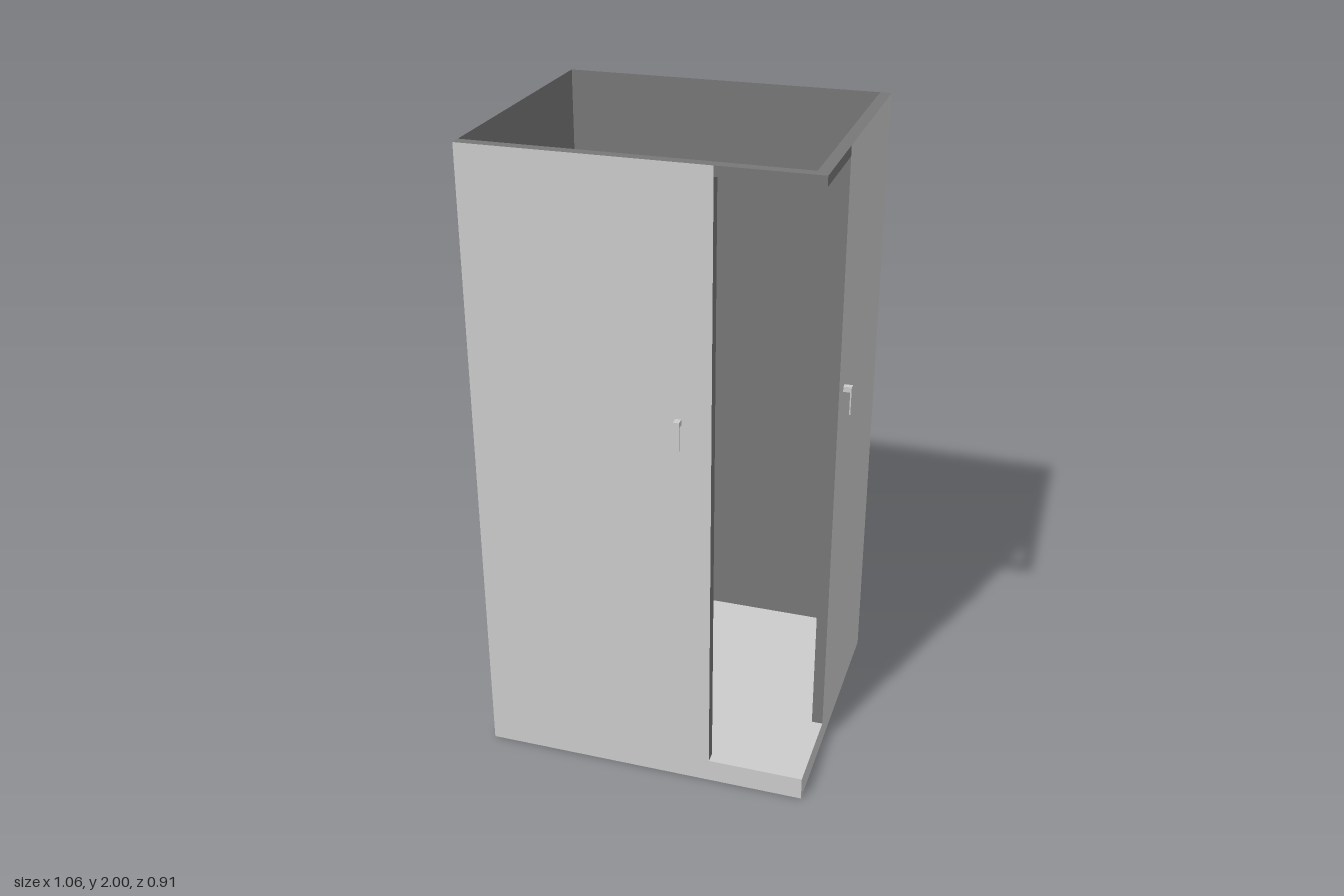
import * as THREE from 'three';
import { toCreasedNormals } from 'three/addons/utils/BufferGeometryUtils.js';

const mat = (color) => new THREE.MeshStandardMaterial({ color, side: THREE.DoubleSide });
const light = mat(0xcccccc), dark = mat(0x777777), black = mat(0x000000);

// Overall extents of the cabin
const X0 = -0.53, X1 = 0.505, Z0 = -0.455, Z1 = 0.43;
const BASE = 0.075, TOP = 2, THICK = 0.035;
const PIPE = { z: -0.1, y: 1.77, r: 0.03 };
const VALVE = { z: -0.014, y: 0.965, r: 0.044 };

function createModel() {
  const group = new THREE.Group();
  const add = (name, geometry, material, parent = group) => {
    const mesh = new THREE.Mesh(geometry, material);
    mesh.name = name;
    parent.add(mesh);
    return mesh;
  };
  // Box given by its two opposite corners
  const box = (name, [x0, y0, z0], [x1, y1, z1], material, parent) => {
    const mesh = add(name, new THREE.BoxGeometry(x1 - x0, y1 - y0, z1 - z0), material, parent);
    mesh.position.set((x0 + x1) / 2, (y0 + y1) / 2, (z0 + z1) / 2);
    return mesh;
  };

  // Tray and drain
  box('showerTray', [X0, 0, Z0], [X1, BASE, Z1], light);
  add('drain', new THREE.CylinderGeometry(0.046, 0.046, 0.004, 40), black)
    .position.set(-0.245, BASE + 0.001, -0.17);

  // Thin back wall, and side wall pierced for the plumbing
  add('backWall', new THREE.PlaneGeometry(X1 - X0, TOP - BASE).rotateY(Math.PI), dark)
    .position.set((X0 + X1) / 2, (TOP + BASE) / 2, Z0);
  const wall = new THREE.Shape([[Z0, BASE], [Z1, BASE], [Z1, TOP], [Z0, TOP]]
    .map(([x, y]) => new THREE.Vector2(x, y)));
  for (const { z, y, r } of [PIPE, VALVE]) {
    wall.holes.push(new THREE.Path().absarc(z, y, r, 0, Math.PI * 2, true));
  }
  add('plumbingWall', new THREE.ShapeGeometry(wall, 16).rotateY(-Math.PI / 2), dark).position.x = X0;

  // Front and side panels: light faces, dark edges
  box('frontPanel', [X0, BASE, Z1 - THICK], [0.205, TOP, Z1],
    [dark, dark, dark, dark, light, light]);
  box('sidePanel', [X1 - THICK, BASE, Z0], [X1, TOP, 0.14],
    [light, light, dark, dark, dark, dark]);

  // Header rails across the open corner
  box('frontHeader', [0.205, TOP - 0.03, Z1 - THICK], [X1, TOP, Z1], dark);
  box('sideHeader', [X1 - THICK, TOP - 0.03, 0.14], [X1, TOP, Z1 - THICK], dark);

  // Hooked door handles, one on each panel
  const handle = (name, x, z, angle) => {
    const h = new THREE.Group();
    h.name = name;
    box('handleStem', [-0.009, 1.243, 0], [0.009, 1.26, 0.025], light, h);
    box('handleGrip', [-0.009, 1.17, 0.021], [0.009, 1.243, 0.025], light, h);
    h.position.set(x, 0, z);
    h.rotation.y = angle;
    group.add(h);
  };
  handle('frontHandle', 0.108, Z1, 0);
  handle('sideHandle', X1, 0.07, Math.PI / 2);

  // Shower spout: a round pipe whose underside is cut away towards the tip
  add('showerSpout', spoutGeometry(), light).position.set(0, PIPE.y, PIPE.z);

  // Mixer knob, open behind the wall
  const knob = new THREE.Group();
  knob.name = 'mixerKnob';
  const length = 0.075;
  add('knobBody', new THREE.CylinderGeometry(VALVE.r, VALVE.r, length, 32, 1, true)
    .rotateZ(-Math.PI / 2), light, knob).position.x = length / 2;
  add('knobFace', new THREE.CircleGeometry(VALVE.r, 32).rotateY(Math.PI / 2), light, knob)
    .position.x = length;
  knob.position.set(X0, VALVE.y, VALVE.z);
  group.add(knob);

  return group;
}

function spoutGeometry() {
  const n = 32, cut = 0.015, tipHalf = 0.026;
  const positions = [], index = [];
  [X0, -0.385, -0.235].forEach((x, s) => {
    for (let i = 0; i < n; i++) {
      const a = (i / n) * Math.PI * 2;
      let y = PIPE.r * Math.sin(a), z = PIPE.r * Math.cos(a);
      if (s === 2) {
        y = Math.max(y, cut);
        z = THREE.MathUtils.clamp(z, -tipHalf, tipHalf);
      }
      positions.push(x, y, z);
    }
  });
  positions.push(-0.235, 0.021, 0);
  for (let i = 0; i < n; i++) {
    const j = (i + 1) % n;
    for (let s = 0; s < 2; s++) {
      const a = s * n + i, b = s * n + j;
      index.push(a, b, a + n, b, b + n, a + n);
    }
    index.push(2 * n + i, 2 * n + j, 3 * n);
  }
  const g = new THREE.BufferGeometry();
  g.setAttribute('position', new THREE.Float32BufferAttribute(positions, 3));
  // Ring order runs from +z up to +y, so flip the faces outward
  for (let k = 0; k < index.length; k += 3) [index[k], index[k + 1]] = [index[k + 1], index[k]];
  g.setIndex(index);
  return toCreasedNormals(g, 0.5);
}

export { createModel };
